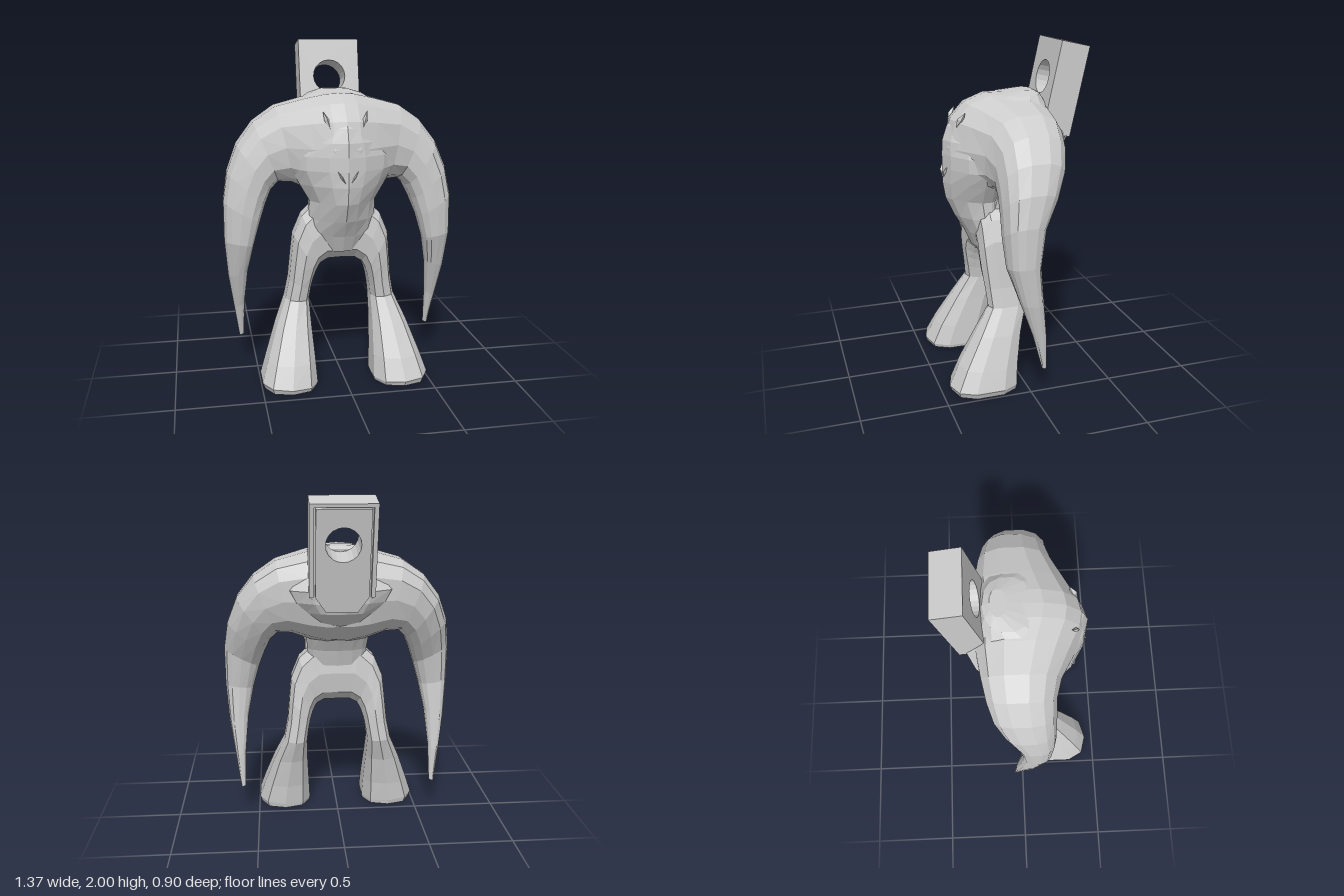
import * as THREE from 'three';

const material = new THREE.MeshStandardMaterial({ color: 0xcccccc, flatShading: true, side: THREE.DoubleSide });

// Closed skin over rings; each ring is spanned by a centre and two half axes
function loft(rings, sides, power) {
  const pos = [], index = [];
  const bend = (v) => Math.sign(v) * Math.abs(v) ** (2 / power);
  for (const { c, u, w } of rings) {
    for (let i = 0; i < sides; i++) {
      const a = ((i + 0.5) / sides) * Math.PI * 2;
      const p = c.clone().addScaledVector(u, bend(Math.cos(a))).addScaledVector(w, bend(Math.sin(a)));
      pos.push(p.x, p.y, p.z);
    }
  }
  const last = rings.length - 1;
  for (let r = 0; r < last; r++) {
    for (let i = 0; i < sides; i++) {
      const a = r * sides + i, b = r * sides + ((i + 1) % sides);
      index.push(a, b, b + sides, a, b + sides, a + sides);
    }
  }
  for (let i = 1; i < sides - 1; i++) {
    index.push(0, i + 1, i);
    index.push(last * sides, last * sides + i, last * sides + i + 1);
  }
  // Turn the faces outward if the enclosed volume is negative
  const at = (i) => new THREE.Vector3().fromArray(pos, i * 3);
  let volume = 0;
  for (let i = 0; i < index.length; i += 3) {
    volume += at(index[i]).dot(at(index[i + 1]).cross(at(index[i + 2])));
  }
  if (volume < 0) index.reverse();
  const geo = new THREE.BufferGeometry();
  geo.setAttribute('position', new THREE.Float32BufferAttribute(pos, 3));
  geo.setIndex(index);
  geo.computeVertexNormals();
  return geo;
}

// Level ring from its half width and its extents in z
const levelRing = ([y, h, zf, zb]) => ({
  c: new THREE.Vector3(0, y, (zf + zb) / 2),
  u: new THREE.Vector3(h, 0, 0),
  w: new THREE.Vector3(0, 0, (zf - zb) / 2),
});

// Ring across a limb from its outer to its inner edge; lean pushes the outer edge back
const limbRing = ([ox, oy, ix, iy, zf, zb], s, lean) => ({
  c: new THREE.Vector3((s * (ox + ix)) / 2, (oy + iy) / 2, (zf + zb) / 2),
  u: new THREE.Vector3((s * (ox - ix)) / 2, (oy - iy) / 2, -lean * (zf - zb)),
  w: new THREE.Vector3(0, 0, (zf - zb) / 2),
});

// Mirrored pair of limbs in one skin; the first section lies on x = 0
const limbPair = (sections, sides, power, lean) => loft([
  ...sections.slice(1).reverse().map((r) => limbRing(r, -1, lean)),
  ...sections.map((r) => limbRing(r, 1, lean)),
], sides, power);

function add(parent, name, geo) {
  const mesh = new THREE.Mesh(geo, material);
  mesh.name = name;
  parent.add(mesh);
  return mesh;
}

export function createModel() {
  const model = new THREE.Group();
  model.name = 'hangingFigure';

  // Shoulders and both drooping arms: outer x, y, inner x, y, front, back
  add(model, 'shouldersAndArms', limbPair([
    [0, 1.705, 0, 1.1, 0.38, -0.24],
    [0.08, 1.7, 0.07, 1.1, 0.365, -0.245],
    [0.2, 1.672, 0.16, 1.13, 0.305, -0.25],
    [0.37, 1.625, 0.28, 1.18, 0.22, -0.225],
    [0.5, 1.535, 0.36, 1.185, 0.19, -0.2],
    [0.6, 1.405, 0.405, 1.14, 0.19, -0.165],
    [0.66, 1.25, 0.44, 1.06, 0.19, -0.105],
    [0.687, 1.08, 0.475, 0.96, 0.19, -0.03],
    [0.687, 0.85, 0.515, 0.82, 0.175, 0],
    [0.668, 0.62, 0.55, 0.65, 0.11, -0.02],
    [0.635, 0.4, 0.572, 0.43, 0.03, -0.045],
    [0.605, 0.2, 0.578, 0.21, -0.03, -0.055],
  ], 14, 2.5, 0.06));

  // Keeled chest tapering down to the belly: y, half width, front, back
  add(model, 'chest', loft([
    [1.6, 0.1, 0.29, 0], [1.52, 0.2, 0.355, -0.02], [1.44, 0.27, 0.382, -0.05], [1.36, 0.31, 0.387, -0.05],
    [1.28, 0.31, 0.387, -0.05], [1.19, 0.26, 0.387, -0.05], [1.09, 0.2, 0.37, -0.03],
    [0.98, 0.2, 0.32, 0], [0.88, 0.21, 0.26, 0.02], [0.78, 0.15, 0.215, 0.04],
  ].map(levelRing), 14, 1.5));

  // Low crown and the broad hump behind, which carries the tab
  add(model, 'upperBack', loft([
    [1.712, 0.08, -0.07, -0.16], [1.69, 0.16, 0.07, -0.2], [1.65, 0.22, 0.18, -0.22], [1.58, 0.29, 0.2, -0.265],
    [1.47, 0.35, 0.15, -0.325], [1.4, 0.31, 0.15, -0.32], [1.34, 0.245, 0.15, -0.3], [1.26, 0.22, 0.17, -0.21],
    [1.18, 0.2, 0.2, -0.1], [1.06, 0.185, 0.2, -0.03], [0.96, 0.18, 0.2, 0],
  ].map(levelRing), 14, 2.3));

  // Hips and both legs flaring into the feet
  add(model, 'hipsAndLegs', limbPair([
    [0, 1.1, 0, 0.722, 0.215, 0],
    [0.14, 1.09, 0.08, 0.72, 0.22, 0],
    [0.235, 1.0, 0.125, 0.695, 0.225, 0],
    [0.285, 0.88, 0.148, 0.65, 0.225, -0.01],
    [0.298, 0.75, 0.165, 0.6, 0.215, -0.025],
    [0.312, 0.6, 0.178, 0.54, 0.2, -0.035],
    [0.335, 0.48, 0.188, 0.47, 0.19, -0.045],
    [0.4, 0.33, 0.183, 0.33, 0.28, 0],
    [0.465, 0.15, 0.172, 0.15, 0.39, 0.03],
    [0.503, 0.035, 0.165, 0.02, 0.45, 0.04],
    [0.49, 0, 0.17, 0, 0.44, 0.045],
  ], 10, 2.6, 0));

  // Slit eyes and a pointed mouth, thin wedges on the face
  for (const s of [1, -1]) {
    const side = s > 0 ? 'left' : 'right';
    const eye = add(model, side + 'Eye', new THREE.OctahedronGeometry(1));
    eye.scale.set(0.014, 0.055, 0.02);
    eye.position.set(s * 0.11, 1.565, 0.3);
    eye.rotation.set(-0.5, 0, -s * 0.3);
    const mouth = add(model, side + 'MouthCorner', new THREE.OctahedronGeometry(1));
    mouth.scale.set(0.01, 0.07, 0.025);
    mouth.position.set(s * 0.037, 1.25, 0.367);
    mouth.rotation.set(-0.15, 0, -s * 0.55);
  }

  // Leaning hanger tab; local origin at the top front edge
  const tab = new THREE.Group();
  tab.name = 'hangerTab';
  tab.position.set(0, 2, -0.28);
  tab.rotation.x = -0.215;
  const plate = (w, cut, top) => {
    const shape = new THREE.Shape([
      [-w, top], [-w, -0.53], [-cut, -0.62], [cut, -0.62], [w, -0.53], [w, top],
    ].map(([x, y]) => new THREE.Vector2(x, y)));
    shape.holes.push(new THREE.Path().absarc(0, -0.227, 0.098, 0, Math.PI * 2, true));
    return shape;
  };
  const extrude = (shape, depth, back) => new THREE.ExtrudeGeometry(shape, { depth, bevelEnabled: false, curveSegments: 10 })
    .translate(0, 0, -back);
  add(tab, 'tabPlate', extrude(plate(0.185, 0.11, 0), 0.145, 0.145));
  add(tab, 'tabBackPanel', extrude(plate(0.15, 0.09, -0.03), 0.028, 0.173));
  for (const s of [1, -1]) {
    add(tab, s > 0 ? 'leftTabRim' : 'rightTabRim',
      new THREE.BoxGeometry(0.025, 0.53, 0.028).translate(s * 0.1725, -0.265, -0.159));
  }
  add(tab, 'topTabRim', new THREE.BoxGeometry(0.37, 0.02, 0.028).translate(0, -0.01, -0.159));
  model.add(tab);

  return model;
}
